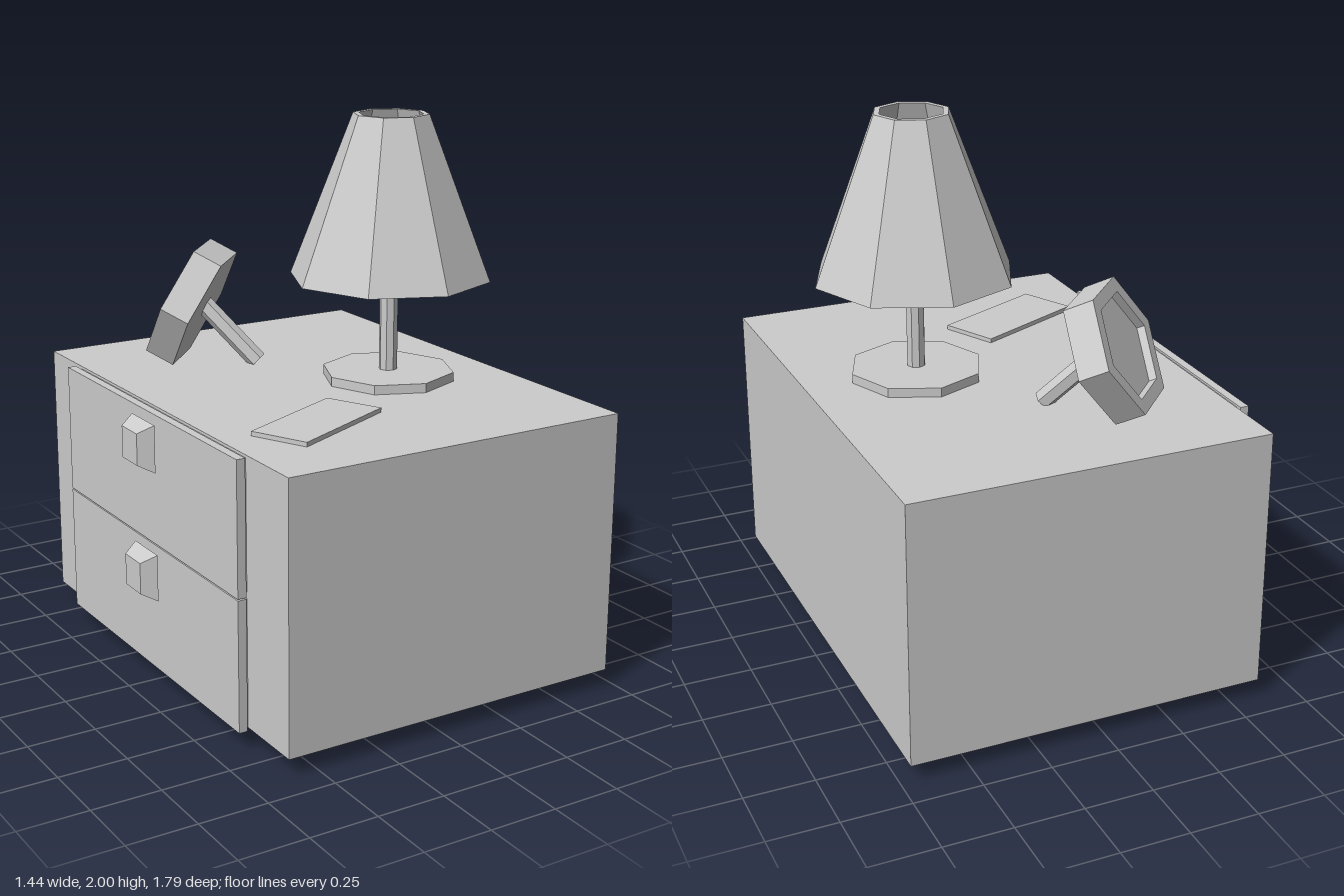
import * as THREE from 'three';

const mat = new THREE.MeshStandardMaterial({ color: 0xcccccc, flatShading: true });

function add(parent, name, geometry, x = 0, y = 0, z = 0) {
  const mesh = new THREE.Mesh(geometry, mat);
  mesh.name = name;
  mesh.position.set(x, y, z);
  parent.add(mesh);
  return mesh;
}

// Box given by its minimum and maximum corners
function addBox(parent, name, [x0, y0, z0], [x1, y1, z1]) {
  return add(parent, name, new THREE.BoxGeometry(x1 - x0, y1 - y0, z1 - z0),
    (x0 + x1) / 2, (y0 + y1) / 2, (z0 + z1) / 2);
}

// Faceted solid of revolution from [radius, height] pairs, bottom to top
function facetedLathe(profile, sides) {
  return new THREE.LatheGeometry(profile.map(([r, y]) => new THREE.Vector2(r, y)), sides);
}

// Square flared block shared by feet and knobs
function flaredBlock(profile) {
  const k = Math.SQRT2;
  return facetedLathe(profile.map(([half, y]) => [half * k, y]), 4).rotateY(Math.PI / 4);
}

// Regular hexagon with corners at left and right
function hexagon(PathType, r) {
  const points = [];
  for (let i = 0; i < 6; i++) {
    const a = i * Math.PI / 3;
    points.push(new THREE.Vector2(r * Math.cos(a), r * Math.sin(a)));
  }
  return new PathType(points);
}

function createCabinet() {
  const cabinet = new THREE.Group();
  cabinet.name = 'cabinet';
  addBox(cabinet, 'body', [-0.61, 0.065, -0.893], [0.715, 1.027, 0.893]);

  // Feet under the four corners
  const foot = flaredBlock([[0, 0], [0.056, 0], [0.094, 0.04], [0.06, 0.066], [0, 0.066]]);
  for (const x of [-0.39, 0.497])
    for (const z of [-0.717, 0.717]) add(cabinet, 'foot', foot, x, 0, z);

  // Two drawers on the -x side, each with a set-back step, a front and a knob
  const knob = flaredBlock([[0, 0], [0.062, 0], [0.062, 0.01], [0.087, 0.012], [0.058, 0.067], [0, 0.067]]);
  for (const [y0, y1, inset0, inset1, knobY] of [
    [0.065, 0.54, 0, 0.01, 0.427],
    [0.545, 1.025, 0.01, 0.008, 0.905]]) {
    const drawer = new THREE.Group();
    drawer.name = 'drawer';
    addBox(drawer, 'drawerStep', [-0.626, y0 + inset0, -0.63], [-0.605, y1 - inset1, 0.625]);
    addBox(drawer, 'drawerFront', [-0.657, y0, -0.653], [-0.625, y1, 0.648]);
    add(drawer, 'knob', knob, -0.655, knobY, 0).rotation.z = Math.PI / 2;
    cabinet.add(drawer);
  }
  return cabinet;
}

function createLamp() {
  const lamp = new THREE.Group();
  lamp.name = 'lamp';
  lamp.position.set(0.295, 0, 0.092);
  add(lamp, 'lampBase', new THREE.CylinderGeometry(0.245, 0.245, 0.036, 8), 0, 1.043, 0);
  add(lamp, 'lampPole', new THREE.CylinderGeometry(0.034, 0.034, 0.74, 8), 0, 1.43, 0);
  // Hollow shade with wall thickness, and a plate that carries it on the pole
  add(lamp, 'lampShade', facetedLathe(
    [[0.37, 1.405], [0.139, 2], [0.118, 2], [0.345, 1.405], [0.37, 1.405]], 8));
  add(lamp, 'shadePlate', new THREE.CylinderGeometry(0.2, 0.203, 0.012, 8), 0, 1.794, 0);
  return lamp;
}

function createMirror() {
  const mirror = new THREE.Group();
  mirror.name = 'tableMirror';

  // Hexagonal frame leaning back, with a recessed face
  const head = new THREE.Group();
  head.name = 'mirrorHead';
  const depth = 0.115, recess = 0.03;
  const ring = hexagon(THREE.Shape, 0.25);
  ring.holes.push(hexagon(THREE.Path, 0.195));
  const extrude = (shape, d) => new THREE.ExtrudeGeometry(shape, { depth: d, bevelEnabled: false });
  add(head, 'mirrorFrame', extrude(ring, depth), 0, 0, -depth);
  add(head, 'mirrorFace', extrude(hexagon(THREE.Shape, 0.195), depth - recess), 0, 0, -depth);
  head.position.set(-0.24, 1.28, -0.542);
  head.rotation.set(-0.46, -2.32, 0, 'YXZ');
  mirror.add(head);

  // Strut propping the frame from behind
  const top = new THREE.Vector3(-0.17, 1.25, -0.48);
  const bottom = new THREE.Vector3(-0.015, 1.035, -0.335);
  const axis = top.clone().sub(bottom);
  const mid = top.clone().add(bottom).multiplyScalar(0.5);
  const strut = add(mirror, 'mirrorStrut',
    new THREE.CylinderGeometry(0.036, 0.036, axis.length(), 6), mid.x, mid.y, mid.z);
  strut.quaternion.setFromUnitVectors(new THREE.Vector3(0, 1, 0), axis.normalize());
  return mirror;
}

export function createModel() {
  const model = new THREE.Group();
  model.name = 'bedsideCabinet';
  model.add(createCabinet(), createLamp(), createMirror());

  // Thin slab lying askew on the top
  add(model, 'slab', new THREE.BoxGeometry(0.47, 0.016, 0.222), -0.235, 1.035, 0.456).rotation.y = 0.446;
  return model;
}
